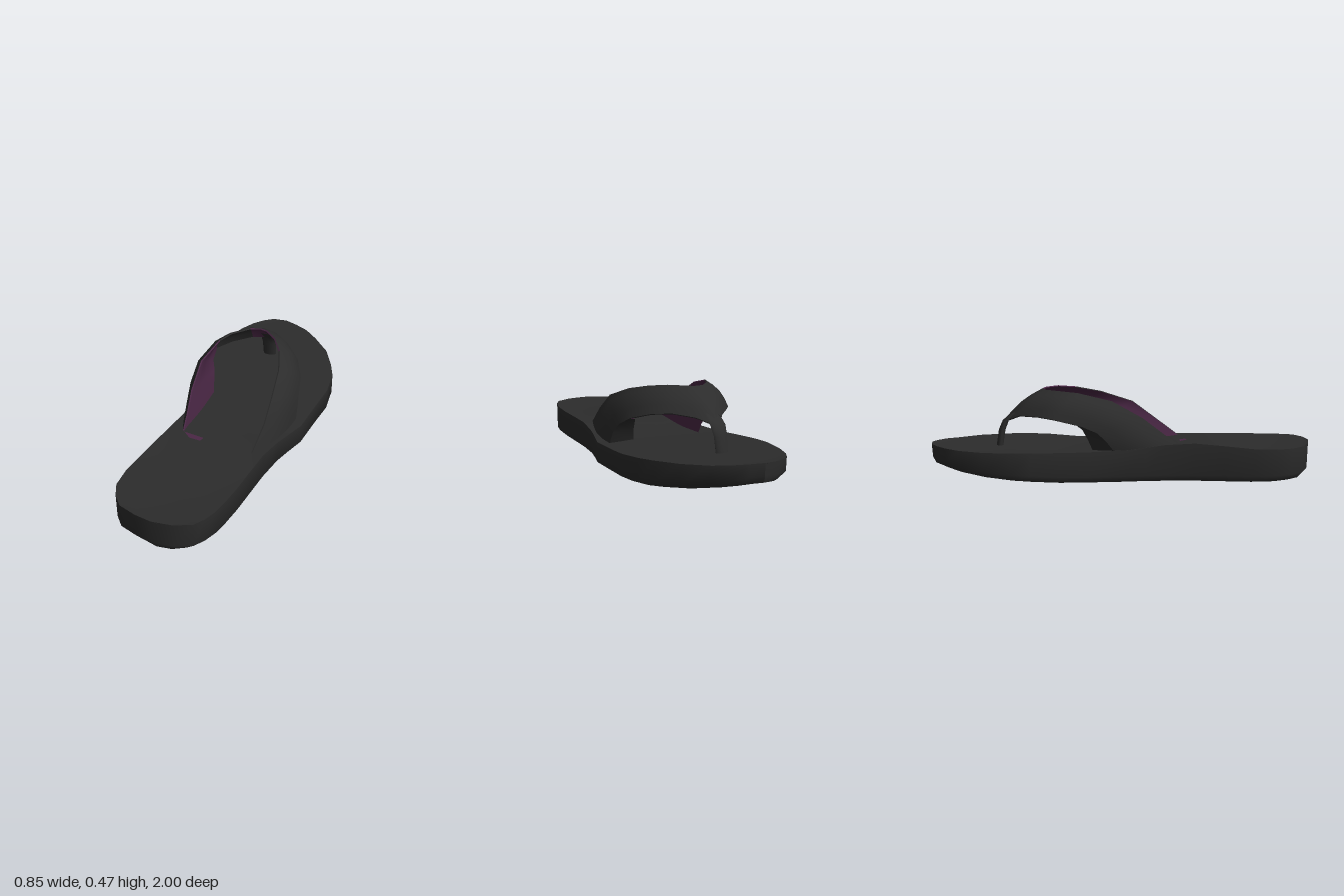
import * as THREE from 'three';

const V = (x, y, z) => new THREE.Vector3(x, y, z);
const lerp = THREE.MathUtils.lerp;

// Smooth surface through rows of points; it faces (row direction) x (point direction)
function grid(rows, materialOf) {
  const n = rows[0].length, idx = [];
  const geo = new THREE.BufferGeometry().setFromPoints(rows.flat());
  for (let i = 0; i < rows.length - 1; i++) {
    const start = idx.length;
    for (let j = 0; j < n - 1; j++) {
      const a = i * n + j, b = a + n;
      idx.push(a, b, b + 1, a, b + 1, a + 1);
    }
    if (materialOf) geo.addGroup(start, idx.length - start, materialOf(i));
  }
  geo.setIndex(idx);
  geo.computeVertexNormals();
  return geo;
}

export function createModel() {
  const black = new THREE.MeshStandardMaterial({ color: 0x2c2c2c, side: THREE.DoubleSide });
  black.name = 'black rubber';
  const purple = new THREE.MeshStandardMaterial({ color: 0x4a2745, side: THREE.DoubleSide });
  purple.name = 'dark purple lining';

  const model = new THREE.Group();
  model.name = 'flipFlop';
  const add = (parent, name, geo, mat) => {
    const m = new THREE.Mesh(geo, mat);
    m.name = name;
    parent.add(m);
  };

  // Sole stations from toe to heel: z, right x, left x, top y right, top y left, bottom y
  const stations = [
    [-1.0, -0.04, 0.04, 0.19, 0.19, 0.09],
    [-0.97, -0.1, 0.11, 0.187, 0.187, 0.085],
    [-0.93, -0.15, 0.18, 0.183, 0.183, 0.075],
    [-0.86, -0.205, 0.25, 0.178, 0.177, 0.06],
    [-0.74, -0.265, 0.34, 0.175, 0.174, 0.042],
    [-0.6, -0.305, 0.395, 0.175, 0.17, 0.028],
    [-0.5, -0.31, 0.422, 0.175, 0.168, 0.02],
    [-0.35, -0.305, 0.42, 0.172, 0.16, 0.01],
    [-0.2, -0.29, 0.385, 0.17, 0.15, 0.005],
    [0.0, -0.285, 0.345, 0.175, 0.145, 0.003],
    [0.1, -0.28, 0.3, 0.185, 0.15, 0.003],
    [0.2, -0.295, 0.26, 0.2, 0.16, 0.005],
    [0.35, -0.325, 0.22, 0.21, 0.18, 0.008],
    [0.5, -0.37, 0.19, 0.2, 0.183, 0.01],
    [0.65, -0.415, 0.16, 0.188, 0.184, 0.012],
    [0.77, -0.425, 0.13, 0.186, 0.185, 0.014],
    [0.85, -0.4, 0.105, 0.186, 0.186, 0.016],
    [0.92, -0.355, 0.07, 0.188, 0.188, 0.018],
    [0.97, -0.26, 0.03, 0.19, 0.19, 0.02],
    [1.0, -0.17, -0.06, 0.192, 0.192, 0.022],
  ];
  const sole = new THREE.Group();
  sole.name = 'sole';
  model.add(sole);

  // Footbed, slightly dished across its width
  add(sole, 'footbed', grid(stations.map(([z, xr, xl, yr, yl]) =>
    [0, 0.2, 0.5, 0.8, 1].map(t => V(lerp(xr, xl, t), lerp(yr, yl, t) + (t > 0 && t < 1 ? -0.004 : 0), z)))), black);

  // Wall with a softened lower edge, running around the whole outline
  const edge = ([z, xr, xl, yr, yl, yb], left) => {
    const x = left ? xl : xr, half = (xl - xr) / 2, s = left ? 1 : -1;
    const inset = Math.min(left ? 0.07 : 0.04, half * 0.3);
    return [V(x, left ? yl : yr, z), V(x, yb + 0.035, z * 0.995), V(x - s * inset, yb, z * 0.98)];
  };
  const loop = [...stations.map(s => edge(s, true)), ...[...stations].reverse().map(s => edge(s, false))];
  loop.push(loop[0]);
  add(sole, 'soleWall', grid(loop), black);

  // Outsole
  add(sole, 'outsole', grid(stations.map(s => {
    const a = edge(s, true)[2], b = edge(s, false)[2];
    return [0, 0.5, 1].map(t => a.clone().lerp(b, t));
  })), black);

  // Strap sections: rear upper edge, front lower edge, and the lining's own lower edge near the ends
  const sections = [
    [[-0.235, 0.175, 0.3], [-0.265, 0.15, -0.05], [-0.195, 0.15, -0.16]],
    [[-0.235, 0.25, 0.2], [-0.28, 0.215, -0.1], [-0.2, 0.22, -0.19]],
    [[-0.24, 0.335, 0.09], [-0.28, 0.265, -0.15], [-0.205, 0.275, -0.22]],
    [[-0.23, 0.425, -0.07], [-0.275, 0.3, -0.23], [-0.225, 0.315, -0.27]],
    [[-0.175, 0.463, -0.24], [-0.23, 0.333, -0.37]],
    [[-0.13, 0.468, -0.32], [-0.16, 0.34, -0.45]],
    [[-0.04, 0.468, -0.4], [-0.06, 0.335, -0.54]],
    [[0.02, 0.47, -0.41], [0.02, 0.295, -0.622]],
    [[0.06, 0.473, -0.39], [0.1, 0.335, -0.53]],
    [[0.12, 0.473, -0.32], [0.18, 0.35, -0.44]],
    [[0.17, 0.46, -0.22], [0.245, 0.34, -0.35]],
    [[0.2, 0.43, -0.08], [0.29, 0.305, -0.23]],
    [[0.205, 0.37, 0.1], [0.3, 0.26, -0.14], [0.2, 0.275, -0.13]],
    [[0.195, 0.28, 0.22], [0.305, 0.21, -0.09], [0.185, 0.215, -0.09]],
    [[0.16, 0.175, 0.36], [0.305, 0.13, -0.05], [0.165, 0.15, -0.06]],
  ].map(s => s.map(p => V(...p)));
  const mids = sections.map(([u, l]) => u.clone().lerp(l, 0.5));
  const outer = [], inner = [];
  sections.forEach(([u, l, foot], i) => {
    const along = mids[Math.min(i + 1, mids.length - 1)].clone().sub(mids[Math.max(i - 1, 0)]);
    const normal = along.cross(l.clone().sub(u)).normalize();
    const row = (end, bulge, offset) => [0, 0.25, 0.5, 0.75, 1].map(t =>
      u.clone().lerp(end, t).addScaledVector(normal, bulge * Math.sin(Math.PI * t) - offset));
    outer.push(row(l, 0.02, 0));
    inner.push(row(foot ?? l, foot ? 0 : 0.02, 0.007));
  });
  const strap = new THREE.Group();
  strap.name = 'strap';
  model.add(strap);
  add(strap, 'strapOuter', grid(outer), black);
  add(strap, 'strapLining', grid(inner.map(r => [...r].reverse()), i => (i === 4 || i === 5 ? 0 : 1)), [black, purple]);
  add(strap, 'strapRearEdge', grid(outer.map((r, i) => [r[0], inner[i][0]]),
    i => (i < 4 || (i > 5 && i < 10) ? 1 : 0)), [black, purple]);
  add(strap, 'strapFrontEdge', grid(outer.map((r, i) => [r[4], inner[i][4]])), black);

  // Thin end of the lining lying on the footbed
  add(strap, 'liningTab', grid([
    [V(-0.22, 0.208, 0.29), V(-0.11, 0.201, 0.31)],
    [V(-0.18, 0.208, 0.335), V(-0.12, 0.203, 0.34)],
  ]), purple);

  // Toe post running up into the strap: y, z, half width, half depth
  const post = [
    [0.15, -0.645, 0.036, 0.018],
    [0.25, -0.63, 0.04, 0.018],
    [0.3, -0.61, 0.046, 0.016],
    [0.33, -0.578, 0.045, 0.012],
    [0.36, -0.543, 0.035, 0.008],
  ].map(([y, z, rx, rz]) => Array.from({ length: 11 }, (_, k) => {
    const a = k / 10 * Math.PI * 2;
    return V(0.02 + rx * Math.cos(a), y, z + rz * Math.sin(a));
  }));
  add(strap, 'toePost', grid(post), black);

  return model;
}
